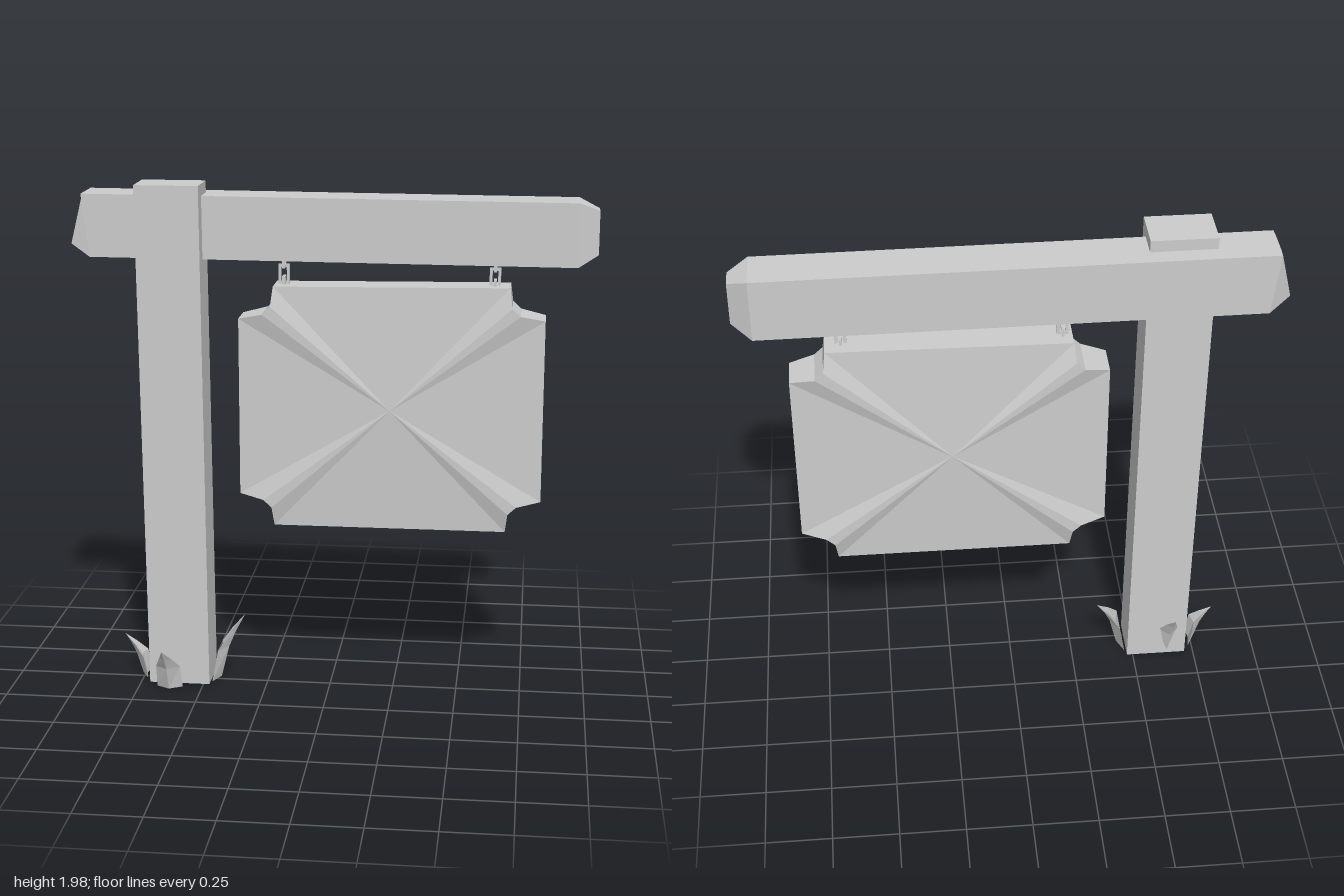
import * as THREE from 'three';

// Skin a list of equal-length rings, closing both ends with a fan to the ring centre.
function loft(rings) {
  const pos = [];
  const tri = (...pts) => pts.forEach((p) => pos.push(...p));
  const centre = (r) => [0, 1, 2].map((k) => r.reduce((s, p) => s + p[k], 0) / r.length);
  const n = rings[0].length;
  const first = rings[0], last = rings[rings.length - 1];
  for (let j = 0; j < n; j++) {
    const k = (j + 1) % n;
    for (let i = 0; i < rings.length - 1; i++) {
      const a = rings[i], b = rings[i + 1];
      tri(a[j], a[k], b[k]);
      tri(a[j], b[k], b[j]);
    }
    tri(centre(first), first[k], first[j]);
    tri(centre(last), last[j], last[k]);
  }
  const g = new THREE.BufferGeometry();
  g.setAttribute('position', new THREE.Float32BufferAttribute(pos, 3));
  g.computeVertexNormals();
  return g;
}

// Horizontal ring for the post, seen as a rectangle in x and z.
const postRing = (y, x0, x1, z0, z1) => [[x0, y, z0], [x0, y, z1], [x1, y, z1], [x1, y, z0]];

// Upright ring for the beam; the top corners may sit at a different x.
const beamRing = (xLow, xTop, y0, y1, z0, z1) =>
  [[xLow, y0, z0], [xTop, y1, z0], [xTop, y1, z1], [xLow, y0, z1]];

// Board outline with scooped corners; the outermost points are slightly thinner.
function boardRing(z, thinZ) {
  const corner = [[0.583, 0.35], [0.49, 0.37], [0.458, 0.4], [0.449, 0.475]];
  const pts = [];
  [[1, 1], [-1, 1], [-1, -1], [1, -1]].forEach(([sx, sy]) => {
    const list = sx * sy > 0 ? corner : [...corner].reverse();
    list.forEach(([x, y]) => {
      const tip = x === 0.583 || y === 0.475;
      const tilt = sy > 0 ? 0.012 * sx * x : 0;
      pts.push([0.228 + sx * x, 1.123 + sy * y + tilt, tip ? thinZ : z]);
    });
  });
  return pts;
}

// Pointed, folded leaf growing up and leaning towards +z.
function leafGeometry(height, reach, half, skew) {
  const ring = (t, out, w, fold) => {
    const x = skew * t * t, y = height * t;
    return [[x, y, out + fold], [x + w, y, out - fold], [x, y, out - fold * 0.3], [x - w, y, out - fold]];
  };
  return loft([
    ring(0, 0, half * 0.85, 0.014),
    ring(0.5, reach * 0.25, half * 0.8, 0.018),
    ring(0.75, reach * 0.58, half * 0.4, 0.01),
    ring(1, reach, 0, 0),
  ]);
}

// Rectangular chain link with an open middle.
function linkGeometry(w, h, bar) {
  const rect = (Type, a, b) => {
    const p = new Type();
    p.moveTo(-a, -b); p.lineTo(a, -b); p.lineTo(a, b); p.lineTo(-a, b); p.closePath();
    return p;
  };
  const shape = rect(THREE.Shape, w / 2, h / 2);
  shape.holes.push(rect(THREE.Path, w / 2 - bar, h / 2 - bar));
  return new THREE.ExtrudeGeometry(shape, { depth: bar, bevelEnabled: false }).translate(0, 0, -bar / 2);
}

export function createModel() {
  const model = new THREE.Group();
  model.name = 'hangingSign';
  const grey = new THREE.MeshStandardMaterial({ color: 0xcccccc });
  grey.name = 'plainGrey';
  const add = (name, geometry, parent = model) => {
    const mesh = new THREE.Mesh(geometry, grey);
    mesh.name = name;
    parent.add(mesh);
    return mesh;
  };

  // Upright post
  add('post', loft([
    postRing(0, -0.715, -0.476, -0.118, 0.063),
    postRing(1.98, -0.732, -0.487, -0.107, 0.063),
  ]));

  // Cross beam: slanted point at one end, chamfered cap at the other
  add('beam', loft([
    beamRing(-1, -0.952, 1.74, 1.932, -0.13, -0.045),
    beamRing(-0.92, -0.948, 1.697, 1.937, -0.173, 0),
    beamRing(0.925, 0.925, 1.688, 1.928, -0.173, 0),
    beamRing(1, 1, 1.73, 1.895, -0.12, -0.045),
  ]));

  // Hanging board, its faces fanned from a flat centre
  const hub = (z) => Array.from({ length: 16 }, () => [0.228, 1.123, z]);
  add('board', loft([hub(-0.17), boardRing(-0.17, -0.148), boardRing(0, -0.02), hub(0)]));

  // Chains of three interlocked links
  [-0.185, 0.618].forEach((x, i) => {
    const chain = new THREE.Group();
    chain.name = i ? 'leftChain' : 'rightChain';
    chain.position.set(x, 0, -0.083);
    model.add(chain);
    [[1.69, 0.07, true], [1.632, 0.076, false], [1.59, 0.07, true]].forEach(([y, h, turned]) => {
      const link = add('chainLink', linkGeometry(0.043, h, 0.011), chain);
      link.position.y = y;
      if (turned) link.rotation.y = Math.PI / 2;
    });
  });

  // Leaves around the foot: x, z, turn, height, reach, half width, skew
  [
    ['frontLeaf', -0.628, 0.112, 0, 0.185, 0.098, 0.06, -0.01],
    ['leftLeaf', -0.455, -0.03, Math.PI / 2, 0.25, 0.105, 0.075, 0.05],
    ['backLeaf', -0.64, -0.1, Math.PI, 0.25, 0.108, 0.05, 0.012],
    ['rightLeaf', -0.748, -0.035, -Math.PI / 2, 0.165, 0.084, 0.062, 0],
  ].forEach(([name, x, z, turn, height, reach, half, skew]) => {
    const leaf = add(name, leafGeometry(height, reach, half, skew));
    leaf.position.set(x, 0, z);
    leaf.rotation.y = turn;
  });

  return model;
}
